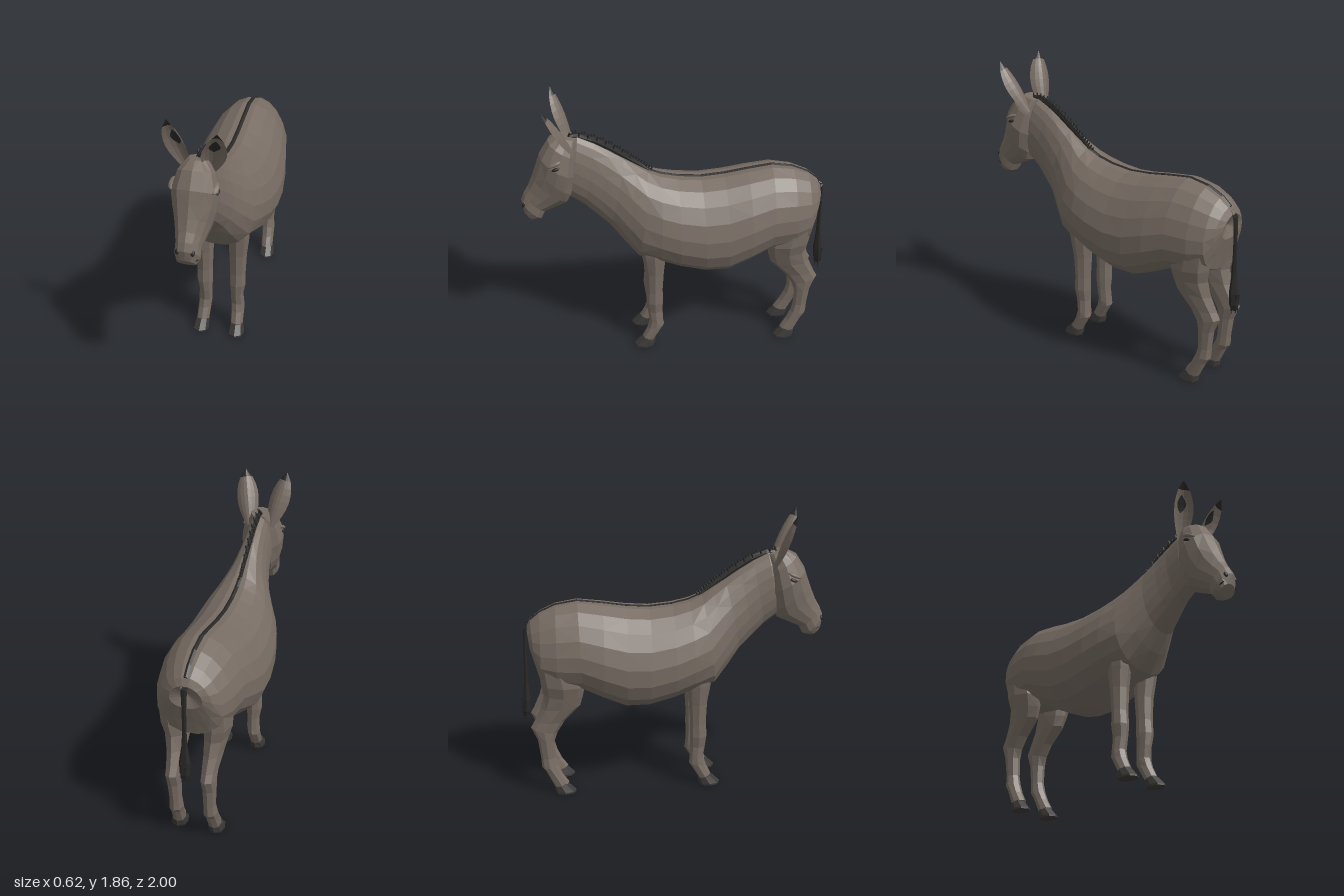
import * as THREE from 'three';

const material = (name, color) => Object.assign(new THREE.MeshStandardMaterial({ color }), { name });

// Non-indexed faces with their own normals give the low-poly look.
function facetMesh(name, pos, mat) {
  const g = new THREE.BufferGeometry();
  g.setAttribute('position', new THREE.Float32BufferAttribute(pos, 3));
  g.computeVertexNormals();
  const m = new THREE.Mesh(g, mat);
  m.name = name;
  return m;
}

// Skin over cross-sections [frontZ, frontY, backZ, backY, halfWidth, centreX].
// egg widens the "back" half; dent pushes the first cap inwards.
function loft(name, sections, n, mat, { side = 1, egg = 0, power = 1, dent = 0 } = {}) {
  const rings = sections.map(([fz, fy, bz, by, w, cx = 0]) => Array.from({ length: n }, (_, j) => {
    const a = (j / n) * Math.PI * 2, c = Math.cos(a), s = Math.sin(a);
    const x = Math.sign(c) * Math.pow(Math.abs(c), power) * w * (1 - egg * s);
    return [cx * side + x, (fy + by) / 2 + s * (fy - by) / 2, (fz + bz) / 2 + s * (fz - bz) / 2];
  }));
  const pos = [];
  const tri = (...p) => p.forEach((q) => pos.push(...q));
  for (let i = 0; i < rings.length - 1; i++) for (let j = 0; j < n; j++) {
    const k = (j + 1) % n, a = rings[i][j], b = rings[i][k], c = rings[i + 1][j], d = rings[i + 1][k];
    if ((i + j) % 2) { tri(a, b, c); tri(b, d, c); } else { tri(a, b, d); tri(a, d, c); }
  }
  const centre = (r) => [0, 1, 2].map((k) => r.reduce((t, p) => t + p[k], 0) / n);
  const first = rings[0], last = rings[rings.length - 1], c0 = centre(first), c1 = centre(last);
  c0[2] += dent;
  for (let j = 0; j < n; j++) {
    const k = (j + 1) % n;
    tri(c0, first[k], first[j]);
    tri(c1, last[j], last[k]);
  }
  return facetMesh(name, pos, mat);
}

export function createModel() {
  const coat = material('coat', 0x776c63);
  const dark = material('dark hair', 0x292827);
  const hoofMat = material('hoof', 0x3b3937);
  const earCoat = material('ear coat', 0x776c63);
  const earDark = material('ear dark', 0x292827);
  earCoat.side = earDark.side = THREE.DoubleSide;
  const model = new THREE.Group();
  model.name = 'donkey';
  const add = (m) => (model.add(m), m);

  // Trunk and neck, from rump to poll
  const trunk = [
    [-0.935, 1.15, -0.915, 0.99, 0.1], [-0.91, 1.195, -0.885, 0.88, 0.155],
    [-0.85, 1.245, -0.86, 0.78, 0.2], [-0.75, 1.29, -0.76, 0.74, 0.24],
    [-0.61, 1.312, -0.6, 0.73, 0.268], [-0.45, 1.29, -0.47, 0.665, 0.295],
    [-0.3, 1.265, -0.32, 0.598, 0.308], [-0.15, 1.252, -0.17, 0.598, 0.308],
    [0, 1.265, 0, 0.64, 0.295], [0.11, 1.29, 0.13, 0.685, 0.272],
    [0.19, 1.325, 0.27, 0.72, 0.235], [0.26, 1.37, 0.36, 0.83, 0.185],
    [0.34, 1.42, 0.44, 0.94, 0.14], [0.43, 1.48, 0.53, 1.03, 0.112],
    [0.52, 1.535, 0.6, 1.1, 0.095], [0.62, 1.585, 0.68, 1.16, 0.09], [0.7, 1.56, 0.73, 1.2, 0.08],
  ];
  add(loft('trunk and neck', trunk, 18, coat, { egg: 0.17, power: 0.9, dent: 0.04 }));

  // Head, from poll to chin
  add(loft('head', [
    [0.74, 1.602, 0.62, 1.575, 0.06], [0.805, 1.57, 0.63, 1.46, 0.115],
    [0.865, 1.475, 0.64, 1.33, 0.147], [0.89, 1.4, 0.665, 1.2, 0.132],
    [0.92, 1.32, 0.695, 1.14, 0.11], [0.95, 1.25, 0.78, 1.1, 0.09],
    [0.98, 1.2, 0.845, 1.07, 0.077], [1.0, 1.15, 0.87, 1.02, 0.078],
    [0.99, 1.08, 0.925, 1.01, 0.058],
  ], 12, coat, { power: 0.8, egg: 0.05 }));

  // Dorsal stripe along the spine
  add(loft('dorsal stripe', trunk.slice(1, 11).map(([z, y]) => [z, y + 0.006, z, y - 0.006, 0.014]), 4, dark));

  // Upright mane: a core ridge with a row of tufts
  const crest = [[0.17, 1.31], [0.26, 1.37], [0.34, 1.42], [0.43, 1.48], [0.52, 1.535], [0.62, 1.58], [0.67, 1.59]];
  const rise = [0.006, 0.022, 0.032, 0.036, 0.036, 0.025, 0.01];
  add(loft('mane core', crest.map(([z, y], i) => [z - rise[i] * 0.5, y + rise[i], z, y - 0.02, 0.012 + i * 0.001]), 6, dark));
  const crestCurve = new THREE.CatmullRomCurve3(crest.map(([z, y]) => new THREE.Vector3(0, y, z)));
  const tuftGeo = new THREE.CylinderGeometry(0.004, 0.013, 0.07, 4).toNonIndexed();
  tuftGeo.computeVertexNormals();
  const mane = add(new THREE.Group());
  mane.name = 'mane tufts';
  for (let i = 0; i < 30; i++) {
    const t = i / 29, tuft = new THREE.Mesh(tuftGeo, dark);
    tuft.name = 'tuft';
    tuft.position.copy(crestCurve.getPointAt(t));
    tuft.position.x = ((i % 3) - 1) * 0.01 * t;
    tuft.position.y += 0.006 + 0.012 * Math.sin(Math.PI * t);
    tuft.rotation.set(-0.55 + 0.4 * t, 0, -((i % 3) - 1) * 0.3 * t);
    tuft.scale.y = 0.65 + 0.45 * Math.sin(Math.PI * t);
    mane.add(tuft);
  }

  // Tail with a ragged switch
  add(loft('tail', [
    [-0.88, 1.17, -0.89, 1.13, 0.03], [-0.925, 1.175, -0.925, 1.14, 0.026],
    [-0.935, 1.12, -0.96, 1.14, 0.02], [-0.942, 1.0, -0.965, 1.0, 0.014],
    [-0.942, 0.85, -0.968, 0.85, 0.014], [-0.94, 0.75, -0.975, 0.75, 0.02],
    [-0.932, 0.64, -0.99, 0.64, 0.036], [-0.935, 0.56, -0.995, 0.56, 0.034], [-0.955, 0.52, -0.985, 0.52, 0.015],
  ].map((s) => s), 6, dark));
  for (let i = 0; i < 6; i++) {
    const a = (i / 6) * Math.PI * 2;
    const strand = add(new THREE.Mesh(new THREE.ConeGeometry(0.011, 0.13, 4), dark));
    strand.name = 'tail strand';
    strand.position.set(Math.cos(a) * 0.024, 0.55 + 0.012 * (i % 3), -0.966 + Math.sin(a) * 0.022);
    strand.rotation.x = Math.PI;
  }

  // Legs with hooves
  const frontLeg = [
    [0.27, 0.92, 0.08, 0.92, 0.07, 0.13], [0.245, 0.74, 0.085, 0.74, 0.07, 0.12],
    [0.222, 0.6, 0.1, 0.6, 0.06, 0.113], [0.215, 0.45, 0.11, 0.45, 0.053, 0.113],
    [0.222, 0.36, 0.108, 0.36, 0.054, 0.113], [0.212, 0.28, 0.112, 0.28, 0.044, 0.108],
    [0.2, 0.2, 0.108, 0.19, 0.046, 0.112], [0.217, 0.14, 0.102, 0.16, 0.044, 0.115],
    [0.25, 0.07, 0.17, 0.045, 0.042, 0.118],
  ];
  const hindLeg = [
    [-0.64, 1.0, -0.88, 1.0, 0.09, 0.14], [-0.58, 0.78, -0.862, 0.8, 0.09, 0.135],
    [-0.595, 0.7, -0.848, 0.72, 0.075, 0.125], [-0.615, 0.63, -0.875, 0.62, 0.062, 0.118],
    [-0.72, 0.52, -0.915, 0.53, 0.05, 0.113], [-0.77, 0.44, -0.94, 0.485, 0.048, 0.113],
    [-0.79, 0.38, -0.9, 0.39, 0.046, 0.113], [-0.79, 0.26, -0.885, 0.26, 0.041, 0.11],
    [-0.775, 0.2, -0.882, 0.19, 0.046, 0.112], [-0.745, 0.13, -0.855, 0.155, 0.043, 0.115],
    [-0.705, 0.07, -0.805, 0.045, 0.042, 0.118],
  ];
  const hoof = (z) => [
    [z + 0.252, 0.072, z + 0.165, 0.045, 0.045, 0.12], [z + 0.31, 0.012, z + 0.165, 0.012, 0.053, 0.123],
    [z + 0.31, 0, z + 0.17, 0, 0.052, 0.123],
  ];

  // Ear: a cupped leaf with a dark tip and a dark patch inside
  const earWidths = [0.03, 0.046, 0.063, 0.073, 0.074, 0.064, 0.043, 0.004];
  function ear(side, tip) {
    const base = new THREE.Vector3(0.068 * side, 1.5, 0.655);
    const d = tip.clone().sub(base), up = d.clone().normalize();
    const r = new THREE.Vector3(1, 0, -0.25 * side).addScaledVector(up, -(up.x - 0.25 * side * up.z)).normalize();
    const f = r.clone().cross(up);
    const point = (t, u, lift) => {
      const q = t * 7, i = Math.min(6, Math.floor(q));
      const w = THREE.MathUtils.lerp(earWidths[i], earWidths[i + 1], q - i);
      return base.clone().addScaledVector(d, t).addScaledVector(r, w * u)
        .addScaledVector(f, 0.6 * w * (u * u - 0.5) + lift).toArray();
    };
    const sheet = (name, t0, t1, span, lift, mat) => {
      const pos = [], rows = 7, cols = 6;
      const at = (i, j) => point(t0 + (t1 - t0) * i / rows, span(i / rows) * (j / cols * 2 - 1), lift);
      for (let i = 0; i < rows; i++) for (let j = 0; j < cols; j++) {
        const a = at(i, j), b = at(i, j + 1), c = at(i + 1, j), e = at(i + 1, j + 1);
        pos.push(...a, ...b, ...e, ...a, ...e, ...c);
      }
      return facetMesh(name, pos, mat);
    };
    const g = new THREE.Group();
    g.name = side > 0 ? 'left ear' : 'right ear';
    g.add(sheet('ear shell', 0, 0.86, () => 1, 0, earCoat));
    g.add(sheet('ear tip', 0.86, 1, () => 1, 0, earDark));
    g.add(sheet('inner ear patch', 0.47, 0.77, (s) => 0.05 + 0.42 * Math.sin(Math.PI * s), 0.006, earDark));
    return g;
  }
  add(ear(1, new THREE.Vector3(0.152, 1.83, 0.83)));
  add(ear(-1, new THREE.Vector3(-0.155, 1.855, 0.77)));

  // Small dark or coat-coloured lumps for facial details
  const lump = (name, mat, p, s, rx = 0) => {
    const m = add(new THREE.Mesh(new THREE.IcosahedronGeometry(1, 1), mat));
    m.name = name;
    m.position.set(...p);
    m.scale.set(...s);
    m.rotation.x = rx;
  };

  for (const side of [1, -1]) {
    add(loft('front leg', frontLeg, 8, coat, { side }));
    add(loft('hind leg', hindLeg, 8, coat, { side }));
    add(loft('front hoof', hoof(0), 8, hoofMat, { side, power: 0.8 }));
    add(loft('hind hoof', hoof(-0.97), 8, hoofMat, { side, power: 0.8 }));
    lump('eye', dark, [0.138 * side, 1.43, 0.765], [0.012, 0.011, 0.026], 0.35);
    lump('brow', coat, [0.125 * side, 1.458, 0.775], [0.025, 0.014, 0.05], 0.4);
    lump('nostril', dark, [0.045 * side, 1.135, 0.982], [0.014, 0.02, 0.012], -0.4);
    lump('mouth corner', dark, [0.062 * side, 1.068, 0.94], [0.008, 0.005, 0.045], -0.35);
  }
  return model;
}
